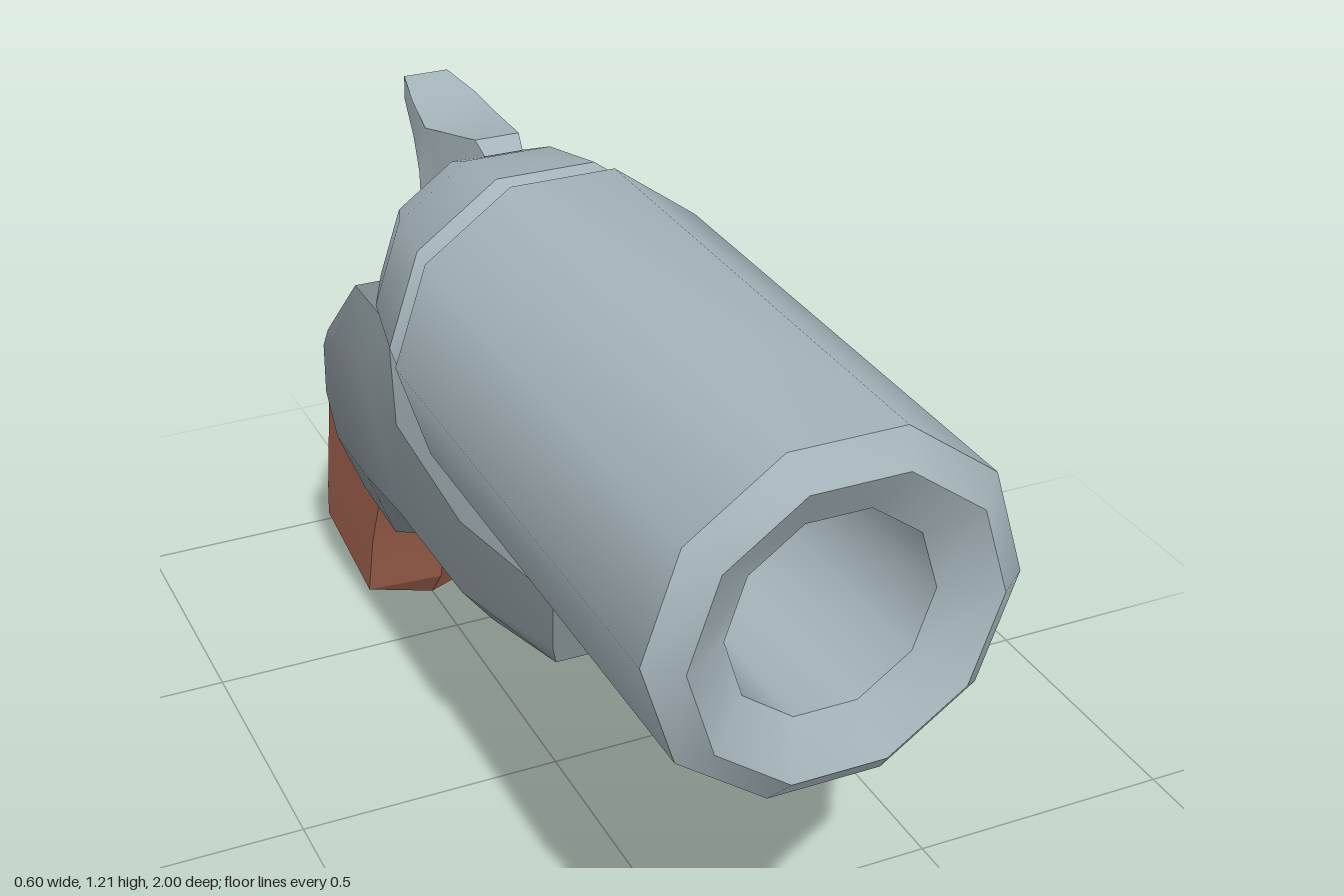
import * as THREE from 'three';
import { toCreasedNormals } from 'three/addons/utils/BufferGeometryUtils.js';

const steel = new THREE.MeshStandardMaterial({ color: 0xa5b4ba });
const darkSteel = new THREE.MeshStandardMaterial({ color: 0x7d888c });
const wood = new THREE.MeshStandardMaterial({ color: 0x9c5f4b });

function addPart(group, name, geometry, material, crease) {
  const mesh = new THREE.Mesh(toCreasedNormals(geometry, crease), material);
  mesh.name = name;
  group.add(mesh);
  return mesh;
}

// Skin a row of equal-length convex loops and close both ends.
// Loops run counter-clockwise as seen from outside the first end.
function loft(loops) {
  const n = loops[0].length;
  const index = [];
  for (let i = 0; i < loops.length - 1; i++) {
    for (let j = 0; j < n; j++) {
      const a = i * n + j, b = i * n + (j + 1) % n;
      index.push(a, a + n, b, b, a + n, b + n);
    }
  }
  const last = (loops.length - 1) * n;
  for (let j = 1; j < n - 1; j++) {
    index.push(0, j, j + 1, last, last + j + 1, last + j);
  }
  const g = new THREE.BufferGeometry();
  g.setAttribute('position', new THREE.Float32BufferAttribute(loops.flat(2), 3));
  g.setIndex(index);
  return g;
}

// Side outline in (z, y), thickened along x; halfWidth(z, y) sets the taper.
function sidePlate(outline, halfWidth) {
  const shape = new THREE.Shape(outline.map(([z, y]) => new THREE.Vector2(z, y)));
  const g = new THREE.ExtrudeGeometry(shape, { depth: 1, bevelEnabled: false });
  g.translate(0, 0, -0.5).rotateY(-Math.PI / 2);
  const p = g.attributes.position;
  for (let i = 0; i < p.count; i++) {
    p.setX(i, p.getX(i) * 2 * halfWidth(p.getZ(i), p.getY(i)));
  }
  return g;
}

export function createModel() {
  const model = new THREE.Group();
  model.name = 'revolver';

  // Ten-sided barrel: domed back, groove, wide tube, bevelled muzzle and bore [radius, z]
  const profile = [
    [0, -0.345], [0.1, -0.338], [0.2, -0.31], [0.25, -0.2], [0.284, -0.04], [0.247, 0], [0.3, 0.03],
    [0.3, 0.96], [0.25, 1], [0.168, 0.95], [0.165, 0.45], [0.1, 0.38], [0, 0.35],
  ].map(([r, z]) => new THREE.Vector2(r, z));
  const barrel = new THREE.LatheGeometry(profile, 10, Math.PI / 2);
  barrel.rotateX(Math.PI / 2).translate(0, 0.92, 0);
  addPart(model, 'barrel', barrel, steel, 0.68);

  // Frame: eight-sided sections [z, bottom, lower side, upper side, top, side width, edge width]
  const frame = [
    [0.4, 0.535, 0.56, 0.66, 0.69, 0.18, 0.175],
    [0.14, 0.46, 0.53, 0.67, 0.7, 0.235, 0.18],
    [-0.16, 0.46, 0.52, 0.7, 0.73, 0.235, 0.18],
    [-0.33, 0.37, 0.5, 0.71, 0.81, 0.235, 0.185],
    [-0.5, 0.375, 0.5, 0.71, 0.81, 0.235, 0.185],
    [-0.555, 0.55, 0.57, 0.67, 0.7, 0.235, 0.225],
  ].map(([z, b, lo, hi, t, w, e]) => [
    [-e, b, z], [e, b, z], [w, lo, z], [w, hi, z], [e, t, z], [-e, t, z], [-w, hi, z], [-w, lo, z],
  ]);
  addPart(model, 'frame', loft(frame), darkSteel, 0.5);

  // Block between the frame cheeks that carries the hammer
  const block = sidePlate(
    [[-0.32, 0.7], [-0.53, 0.7], [-0.525, 0.86], [-0.4, 0.87], [-0.34, 0.85]],
    () => 0.075,
  );
  addPart(model, 'hammerBlock', block, darkSteel, 0.4);

  // Hammer with a thumb spur, widest in the middle
  const hammer = sidePlate([
    [-0.34, 0.8], [-0.345, 0.93], [-0.33, 1.02], [-0.31, 1.1], [-0.22, 1.15], [-0.25, 1.17],
    [-0.41, 1.137], [-0.5, 1.152], [-0.59, 1.165], [-0.595, 1.12], [-0.5, 1.085], [-0.445, 1.04],
    [-0.435, 0.97], [-0.4, 0.85], [-0.4, 0.8],
  ], (z) => (z < -0.43
    ? THREE.MathUtils.mapLinear(z, -0.6, -0.43, 0.04, 0.075)
    : THREE.MathUtils.mapLinear(z, -0.43, -0.22, 0.075, 0.035)));
  addPart(model, 'hammer', hammer, steel, 0.5);

  // Trigger, narrowing to the tip
  const trigger = sidePlate(
    [[0.01, 0.295], [-0.04, 0.272], [-0.16, 0.36], [-0.23, 0.47], [-0.1, 0.48], [-0.07, 0.375]],
    (z, y) => THREE.MathUtils.mapLinear(y, 0.29, 0.46, 0.043, 0.055),
  );
  addPart(model, 'trigger', trigger, steel, 0.3);

  // Grip: six-sided sections; front ridge, front side, back side, back ridge as z, y pairs, then width
  const grip = [
    [-0.45, 0.55, -0.48, 0.62, -0.53, 0.71, -0.51, 0.76, 0.11],
    [-0.48, 0.42, -0.53, 0.41, -0.62, 0.68, -0.69, 0.695, 0.115],
    [-0.545, 0.25, -0.6, 0.27, -0.8, 0.53, -0.86, 0.555, 0.122],
    [-0.575, 0.11, -0.645, 0.15, -0.885, 0.36, -0.95, 0.385, 0.125],
    [-0.585, 0.07, -0.665, 0.07, -0.925, 0.13, -1, 0.145, 0.125],
    [-0.64, 0, -0.68, 0.012, -0.93, 0.06, -0.965, 0.06, 0.125],
  ].map(([fz, fy, az, ay, bz, by, rz, ry, w]) => [
    [0, fy, fz], [w, ay, az], [w, by, bz], [0, ry, rz], [-w, by, bz], [-w, ay, az],
  ]);
  addPart(model, 'grip', loft(grip), wood, 0.45);

  return model;
}
